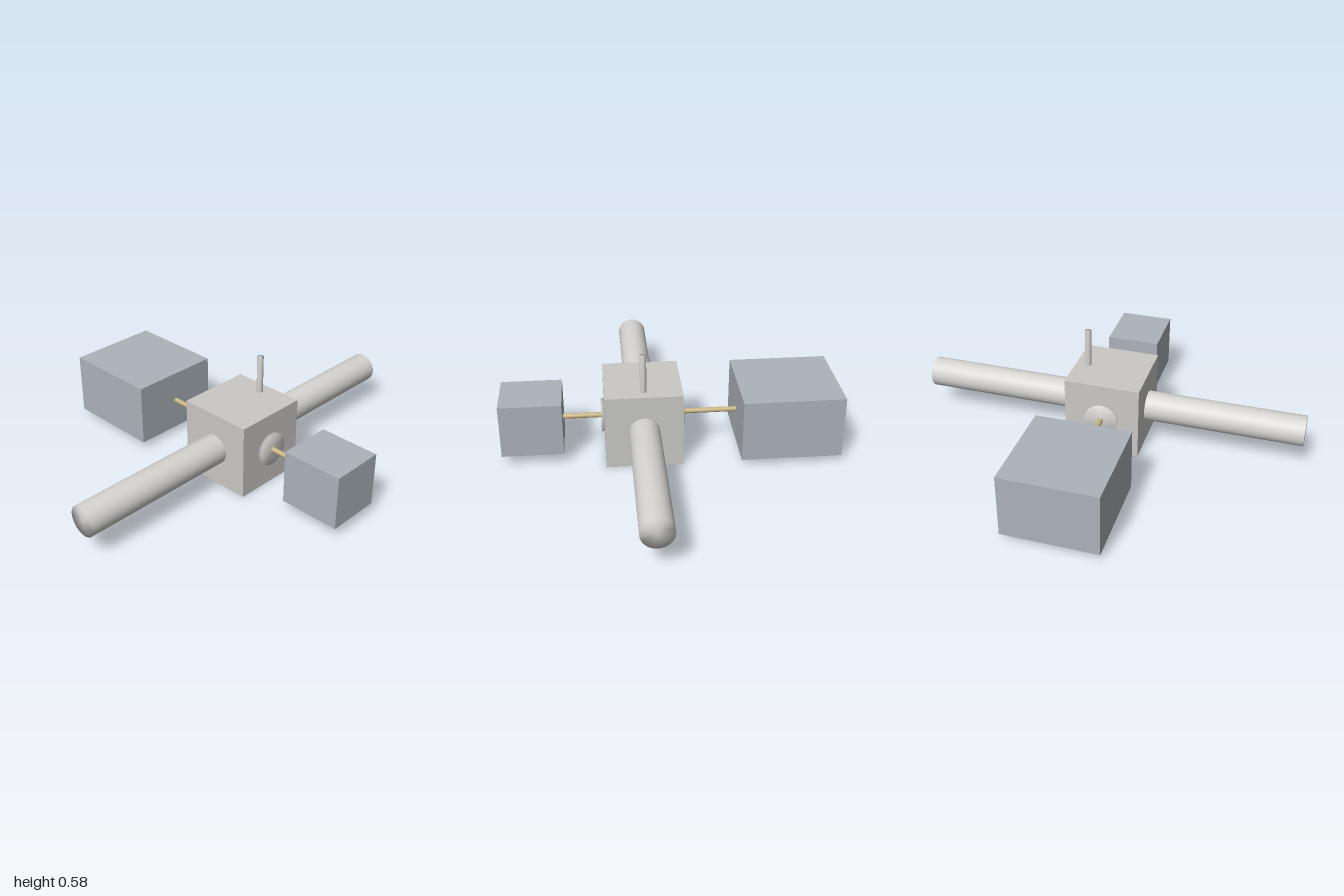
import * as THREE from 'three';
import { mergeVertices } from 'three/addons/utils/BufferGeometryUtils.js';

const material = (name, color) => {
  const m = new THREE.MeshStandardMaterial({ color });
  m.name = name;
  return m;
};

export function createModel() {
  const hullGrey = material('hull grey', 0xcac9c6);
  const tubeGrey = material('tube light grey', 0xd6d5d2);
  const panelBlue = material('panel blue grey', 0xacb3ba);
  const rodGold = material('rod gold', 0xc8b384);

  const model = new THREE.Group();
  const axisY = 0.194, bodyZ = 0.138;

  function add(name, geometry, mat, x, y, z) {
    const mesh = new THREE.Mesh(geometry, mat);
    mesh.name = name;
    mesh.position.set(x, y, z);
    model.add(mesh);
  }

  // Capped cylinder with normals smoothed over its rims
  function rod(radius, length, axis) {
    let g = new THREE.CylinderGeometry(radius, radius, length, 32);
    if (axis === 'x') g.rotateZ(-Math.PI / 2);
    if (axis === 'z') g.rotateX(Math.PI / 2);
    g.deleteAttribute('uv');
    g.deleteAttribute('normal');
    g = mergeVertices(g, 1e-5);
    g.computeVertexNormals();
    return g;
  }

  // Central cube
  add('body', new THREE.BoxGeometry(0.385, 0.385, 0.385), hullGrey, 0, 0.1925, bodyZ);

  // Side tubes
  for (const [name, s] of [['leftTube', 1], ['rightTube', -1]]) {
    add(name, rod(0.077, 0.808, 'x'), tubeGrey, s * 0.596, axisY, bodyZ);
  }

  // Round collars on the front and back faces
  for (const [name, s] of [['frontCollar', 1], ['backCollar', -1]]) {
    add(name, rod(0.085, 0.03, 'z'), tubeGrey, 0, axisY, bodyZ + s * 0.193);
  }

  // Connecting rods, each from z0 to z1
  for (const [name, z0, z1] of [['frontRod', 0.33, 0.538], ['backRod', -0.343, -0.055]]) {
    add(name, rod(0.013, z1 - z0, 'z'), rodGold, 0, axisY, (z0 + z1) / 2);
  }

  // End boxes
  add('frontBox', new THREE.BoxGeometry(0.275, 0.275, 0.309), panelBlue, 0, axisY, 0.6925);
  add('backBox', new THREE.BoxGeometry(0.478, 0.32, 0.505), panelBlue, 0, axisY, -0.5945);

  // Upright antenna
  add('antenna', rod(0.016, 0.195, 'y'), tubeGrey, 0.128, 0.4825, bodyZ);

  return model;
}
